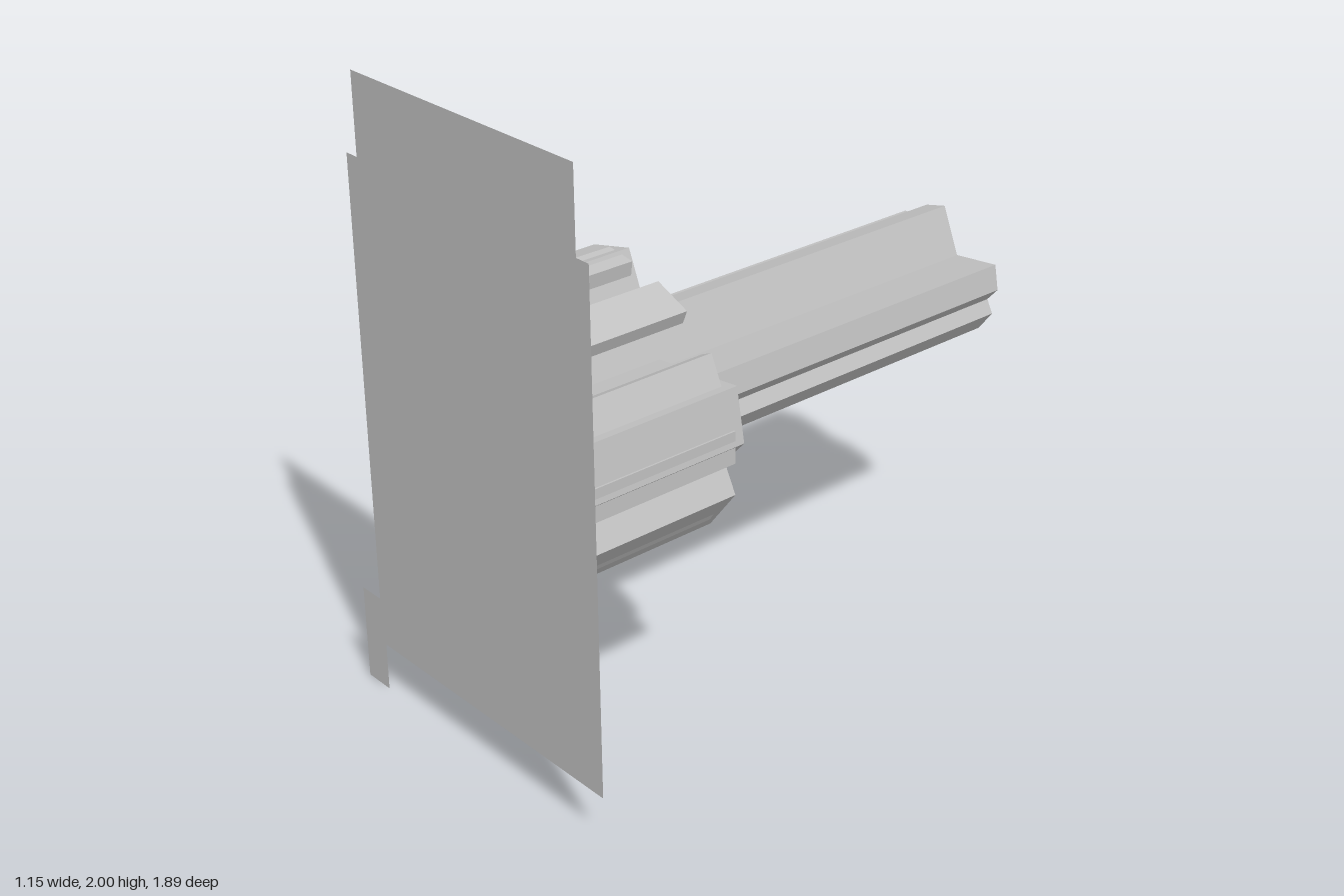
import * as THREE from 'three';

const CX = 0.04, CY = 1.035;

// Half of the toothed section, relative to the axis; the other half is a half turn of it
const HALF = [
  [0, 0.437], [-0.155, 0.4], [-0.18, 0.31], [-0.34, 0.305], [-0.445, 0.17],
  [-0.4, 0.083], [-0.48, -0.005], [-0.45, -0.17], [-0.125, -0.135],
];

function toothedShape(scale) {
  const points = [1, -1].flatMap((turn) =>
    HALF.map(([x, y]) => new THREE.Vector2(x * turn * scale, y * turn * scale)));
  return new THREE.Shape(points);
}

export function createModel() {
  const model = new THREE.Group();
  const grey = new THREE.MeshStandardMaterial({ color: 0xc0c0c0 });
  grey.name = 'plainGrey';
  grey.side = THREE.DoubleSide;

  const add = (name, geometry, x, y, z) => {
    const mesh = new THREE.Mesh(geometry, grey);
    mesh.name = name;
    mesh.position.set(x, y, z);
    model.add(mesh);
    return mesh;
  };

  // Flat front plate with stepped top corners and a small foot
  const outline = [
    [-0.58, 0], [-0.475, 0], [-0.475, 0.16], [0.57, 0.16], [0.57, 1.75], [0.52, 1.75],
    [0.52, 2], [-0.44, 2], [-0.44, 1.75], [-0.49, 1.75], [-0.49, 0.315], [-0.58, 0.315],
  ].map(([x, y]) => new THREE.Vector2(x, y));
  add('frontPlate', new THREE.ShapeGeometry(new THREE.Shape(outline)), 0, 0, 0.945);

  // Hub, shaft and end cap share one section at three sizes
  const prism = (name, scale, back, front) => add(name,
    new THREE.ExtrudeGeometry(toothedShape(scale), { depth: front - back, bevelEnabled: false }),
    CX, CY, back);
  prism('hub', 1, 0.38, 0.94);
  prism('shaft', 0.5, -0.93, 0.38);
  prism('endCap', 0.333, -0.945, -0.93);

  // Small bars around the left side of the hub: middle of outer face, facing angle, width
  const thick = 0.045;
  const bars = [
    [0.04, 1.462, 82, 0.1],
    [0.26, 1.405, 67, 0.13],
    [0.447, 1.23, 25, 0.13],
    [0.517, 1.037, 0, 0.1],
    [0.443, 0.815, -33, 0.11],
    [0.265, 0.668, -62, 0.1],
  ];
  for (const [x, y, degrees, width] of bars) {
    const angle = THREE.MathUtils.degToRad(degrees);
    const bar = add('hubBar', new THREE.BoxGeometry(thick, width, 0.5),
      x - Math.cos(angle) * thick / 2, y - Math.sin(angle) * thick / 2, 0.66);
    bar.rotation.z = angle;
  }

  return model;
}
